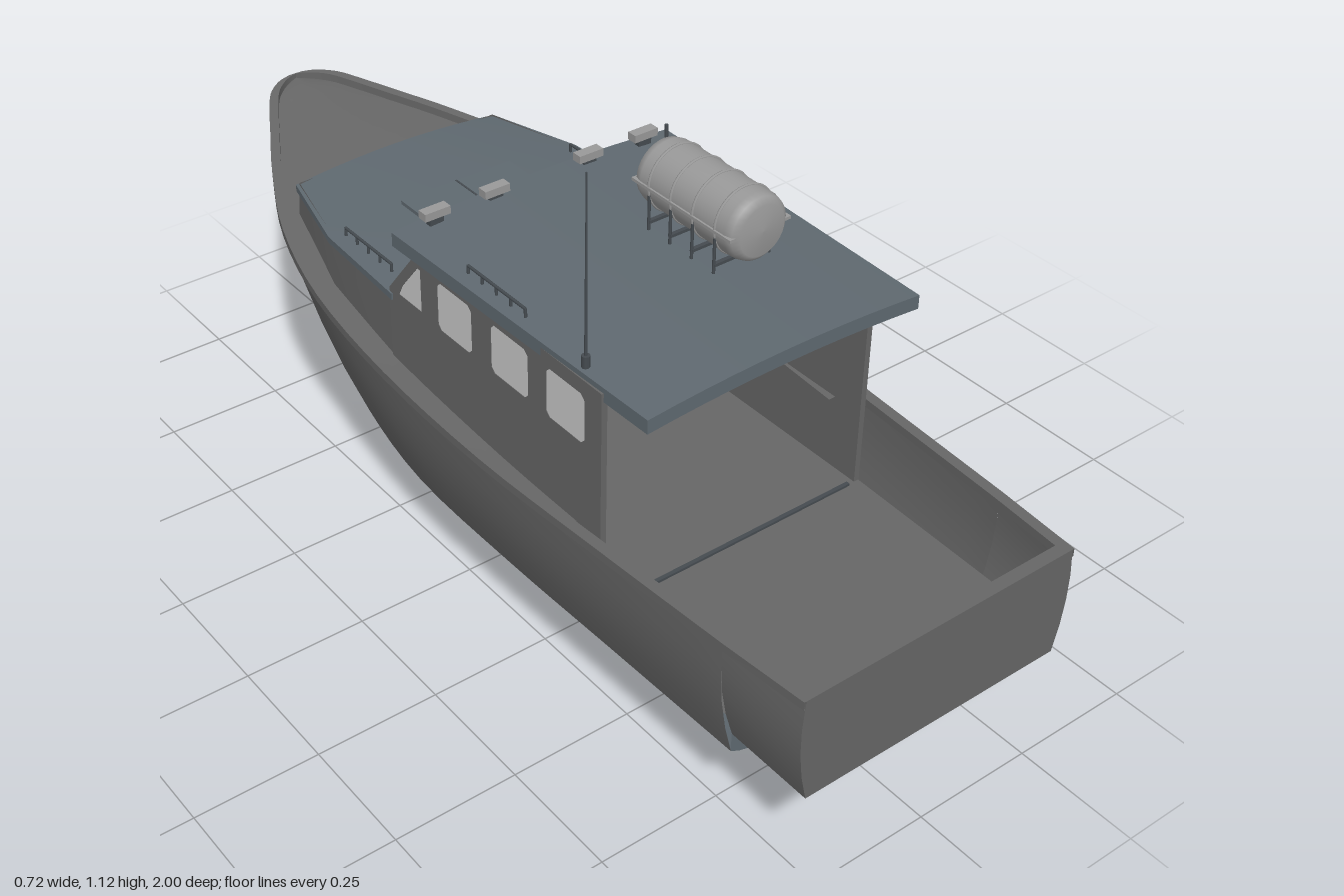
import * as THREE from 'three';
import { toCreasedNormals } from 'three/addons/utils/BufferGeometryUtils.js';

const mat = (color) => new THREE.MeshStandardMaterial({ color, side: THREE.DoubleSide });
const GREY = mat(0x666666), SLATE = mat(0x5f6970), DARK = mat(0x454b50), LIGHT = mat(0xcccccc), RAFT = mat(0x999999);
const FLOOR = 0.27;

// Hull stations, stern to bow: z, sheer x, y, chine x, y, garboard x, y, keel y
const STATIONS = [
  [0.82, 0.315, 0.44, 0.285, 0.185, 0.09, 0.135, 0],
  [0.5, 0.335, 0.44, 0.29, 0.182, 0.09, 0.135, 0.015],
  [0.2, 0.352, 0.443, 0.295, 0.18, 0.085, 0.135, 0.035],
  [-0.1, 0.357, 0.463, 0.29, 0.18, 0.08, 0.135, 0.062],
  [-0.35, 0.345, 0.497, 0.25, 0.185, 0.07, 0.145, 0.098],
  [-0.55, 0.3, 0.53, 0.19, 0.19, 0.05, 0.165, 0.138],
  [-0.72, 0.222, 0.555, 0.12, 0.2, 0.035, 0.185, 0.17],
  [-0.84, 0.155, 0.572, 0.07, 0.22, 0.022, 0.21, 0.195],
  [-0.91, 0.115, 0.582, 0.045, 0.27, 0.02, 0.255, 0.24],
  [-0.96, 0.082, 0.59, 0.04, 0.36, 0.025, 0.35, 0.335],
  [-0.99, 0.045, 0.594, 0.03, 0.53, 0.02, 0.525, 0.515],
  [-1, 0.012, 0.596, 0.01, 0.59, 0.005, 0.588, 0.585],
];
const STERN = [1, 0.3, 0.44, 0.285, 0.225, 0, 0, 0];

// Smooth interpolation between stations
function fair(rows, sub) {
  const out = [], last = rows.length - 1;
  for (let k = 0; k <= last * sub; k++) {
    const i = Math.min(Math.floor(k / sub), last - 1), t = k / sub - i;
    const [a, b, c, d] = [-1, 0, 1, 2].map((o) => rows[Math.min(Math.max(i + o, 0), last)]);
    out.push(b.map((v, j) => v + 0.5 * t * (c[j] - a[j] + t * (2 * a[j] - 5 * v + 4 * c[j] - d[j] + t * (3 * (v - c[j]) + d[j] - a[j])))));
  }
  return out;
}

// Skin over equal-length cross-sections of [x, y, z] points
function loft(sections, crease = 0.6) {
  const n = sections[0].length, index = [];
  for (let i = 0; i < sections.length - 1; i++) for (let j = 0; j < n - 1; j++) {
    const a = i * n + j, b = a + n;
    index.push(a, b, a + 1, b, b + 1, a + 1);
  }
  const g = new THREE.BufferGeometry();
  g.setAttribute('position', new THREE.Float32BufferAttribute(sections.flat(2), 3));
  g.setIndex(index);
  return toCreasedNormals(g, crease);
}

const mirrored = (pts) => [...pts, ...pts.map(([x, y, z]) => [-x, y, z]).reverse()];

function topside([z, xs, ys, xc, yc]) {
  return [0, 0.25, 0.5, 0.75, 1].map((t) => [xs + (xc - xs) * t + 0.16 * xc * t * (1 - t), ys + (yc - ys) * t, z]);
}

function bottom([z, , , xc, yc, xg, yg, yk]) {
  const k = Math.min(0.018, xg * 0.6);
  return mirrored([[xc, yc, z], [xc * 0.93, yc - (yc - yg) * 0.2, z], [(xc + xg) / 2, yg + (yc - yg) * 0.35, z], [xg, yg, z],
    [Math.max(k, xg * 0.5), yg + (yk - yg) * 0.2, z], [Math.max(k, xg * 0.33), yg + (yk - yg) * 0.4, z], [k, yk, z]]);
}

// Crowned slab between two ends given as [z, half width, edge height]
function slab(ends, thick, crown) {
  const ring = ([z, w, y], t) => {
    const arc = [...Array(11).keys()].map((i) => i / 5 - 1).map((u) => [u * w, y + crown * (1 - u * u), z]);
    const low = arc.map(([x, yy]) => [x, yy - t, z]).reverse();
    return [...arc, ...low, arc[0]];
  };
  return loft([ring(ends[0], 0), ...ends.map((e) => ring(e, thick)), ring(ends[ends.length - 1], 0)]);
}

const polygon = (pts) => new THREE.Shape(pts.map(([x, y]) => new THREE.Vector2(x, y)));
const extrude = (shape, depth) => new THREE.ExtrudeGeometry(shape, { depth, bevelEnabled: false });

// Wall with openings and a thin pane set into each
function glazedWall(name, outline, openings, paneOffset) {
  const g = new THREE.Group();
  g.name = name;
  const wall = polygon(outline);
  wall.holes = openings.map(polygon);
  add(g, name + 'Panel', extrude(wall, 0.012), GREY);
  openings.forEach((o) => add(g, 'windowPane', extrude(polygon(o), 0.004), LIGHT, 0, 0, paneOffset));
  return g;
}

// Rectangle with clipped corners
function pane(x0, x1, y0, y1, c = 0.01) {
  return [[x0 + c, y0], [x1 - c, y0], [x1, y0 + c], [x1, y1 - c], [x1 - c, y1], [x0 + c, y1], [x0, y1 - c], [x0, y0 + c]];
}

function add(parent, name, geo, material, x = 0, y = 0, z = 0) {
  const m = new THREE.Mesh(geo, material);
  m.name = name;
  m.position.set(x, y, z);
  parent.add(m);
  return m;
}
const box = (w, h, d) => new THREE.BoxGeometry(w, h, d);
const rod = (r, h) => new THREE.CylinderGeometry(r, r, h, 8);

export function createModel() {
  const boat = new THREE.Group();
  boat.name = 'boat';
  const rows = fair(STATIONS, 4), all = [STERN, ...rows];

  // Hull
  add(boat, 'hullBottom', loft(rows.map(bottom), 0.7), SLATE);
  const aft = STATIONS[0].slice();
  aft[4] = 0.225;
  for (const s of [1, -1]) {
    add(boat, 'topside', loft(rows.map(topside)), GREY).scale.x = s;
    add(boat, 'sternQuarter', loft([topside(STERN), topside(aft)]), GREY).scale.x = s;
    const rail = all.map(([z, x, y]) => {
      const i = Math.max(x - 0.018, 0), o = x + 0.004;
      return [[o, y - 0.012, z], [o, y + 0.005, z], [i, y + 0.005, z], [i, y - 0.012, z], [o, y - 0.012, z]];
    });
    add(boat, 'gunwale', loft(rail), GREY).scale.x = s;
    // Side decks beside the house
    const side = rows.filter((r) => r[0] < 0.5 && r[0] > -0.62);
    add(boat, 'sideDeck', loft(side.map(([z, x, y]) => [[Math.min(0.295, x - 0.06), y - 0.012, z], [x, y - 0.012, z]])), GREY).scale.x = s;
  }
  add(boat, 'transom', extrude(polygon(mirrored(topside(STERN))), 0.015), GREY, 0, 0, 0.985);
  add(boat, 'transomRail', box(0.6, 0.017, 0.025), GREY, 0, 0.4365, 0.9875);
  add(boat, 'sternOverhang', loft([STERN, aft].map(([z, , , x, y]) => [[x, y, z], [-x, y, z]])), SLATE);
  add(boat, 'sternFace', new THREE.ShapeGeometry(polygon([[0.286, 0.225], ...bottom(STATIONS[0]), [-0.286, 0.225]])), SLATE, 0, 0, 0.82);

  // Decks
  const sole = all.filter((r) => r[0] > -0.57).map(([z, xs, ys, xc, yc]) => {
    const x = xc + (xs - xc) * (FLOOR - yc) / (ys - yc);
    return [[x, FLOOR, z], [-x, FLOOR, z]];
  });
  add(boat, 'cockpitSole', loft(sole), GREY);
  add(boat, 'soleSeam', box(0.56, 0.006, 0.008), DARK, 0, FLOOR + 0.002, 0.49);
  const fore = rows.filter((r) => r[0] < -0.55);
  add(boat, 'foredeck', loft(fore.map(([z, x, y]) => mirrored([[x, y - 0.015, z], [x / 2, y - 0.008, z], [0, y - 0.005, z]]))), GREY);
  add(boat, 'forwardBulkhead', box(0.4, 0.24, 0.01), GREY, 0, 0.39, -0.55);

  // Wheelhouse sides; the shape's x axis runs toward the bow
  const outline = [[-0.49, FLOOR], [0.15, FLOOR], [0.15, 0.61], [0.05, 0.735], [-0.49, 0.735]];
  const openings = [[-0.444, -0.337], [-0.285, -0.176], [-0.117, -0.011]].map(([a, b]) => pane(a, b, 0.604, 0.705));
  openings.push([[0.043, 0.61], [0.118, 0.61], [0.105, 0.635], [0.052, 0.7], [0.043, 0.7]]);
  for (const s of [1, -1]) {
    const wall = glazedWall(s > 0 ? 'leftHouseSide' : 'rightHouseSide', outline, openings, s > 0 ? 0.007 : 0.001);
    wall.rotation.y = Math.PI / 2;
    wall.position.x = s > 0 ? 0.295 : -0.307;
    boat.add(wall);
  }

  // Windshield
  const lights = [-0.275, -0.135, 0.015, 0.155].map((x) => pane(x, x + 0.12, 0.025, 0.135));
  const shield = glazedWall('windshield', [[-0.3, -0.01], [0.3, -0.01], [0.3, 0.16], [-0.3, 0.16]], lights, 0.001);
  shield.position.set(0, 0.61, -0.15);
  shield.rotation.x = Math.atan2(0.1, 0.125);
  for (const s of [1, -1]) add(shield, 'wiper', rod(0.003, 0.1), DARK, s * 0.1, 0.065, -0.004).rotation.z = s * 0.6;
  boat.add(shield);

  // Trunk cabin
  const plan = mirrored([[0.305, 0, -0.14], [0.293, 0, -0.38], [0.24, 0, -0.59]]);
  add(boat, 'trunkSides', loft(plan.map(([x, , z]) => [[x, 0.44, z - (z < -0.5 ? 0.015 : 0)], [x * 0.985, 0.6, z]]), 0.2), GREY);
  add(boat, 'trunkTop', slab([[-0.14, 0.31, 0.6], [-0.38, 0.298, 0.6], [-0.595, 0.242, 0.595]], 0.014, 0.015), SLATE);
  add(boat, 'hatch', box(0.26, 0.008, 0.18), SLATE, 0, 0.617, -0.29);
  add(boat, 'hatchSeam', box(0.004, 0.01, 0.18), DARK, 0, 0.617, -0.29);

  // Roof
  add(boat, 'roof', slab([[-0.115, 0.318, 0.748], [0.6, 0.3, 0.745]], 0.028, 0.014), SLATE);
  for (const x of [-0.24, -0.108, 0.108, 0.24]) {
    add(boat, 'roofLight', box(0.055, 0.016, 0.022), RAFT, x, 0.776, -0.09);
    add(boat, 'roofLightFoot', box(0.03, 0.02, 0.014), DARK, x, 0.763, -0.09);
  }
  add(boat, 'antenna', new THREE.CylinderGeometry(0.0015, 0.003, 0.37, 8), DARK, -0.29, 0.93, 0.425);
  add(boat, 'antennaBase', rod(0.008, 0.025), DARK, -0.29, 0.757, 0.425);
  add(boat, 'roofPin', rod(0.004, 0.035), DARK, 0.29, 0.766, -0.08);

  // Grab rails on roof and trunk: x, y, rail start and end z
  for (const [x, y, z0, z1] of [[0.285, 0.757, 0.08, 0.25], [0.27, 0.612, -0.36, -0.2]]) for (const s of [1, -1]) {
    add(boat, 'grabRail', rod(0.003, z1 - z0), DARK, s * x, y + 0.008, (z0 + z1) / 2).rotation.x = Math.PI / 2;
    for (let i = 0; i < 5; i++) add(boat, 'grabRailPost', rod(0.003, 0.018), DARK, s * x, y, z0 + (z1 - z0) * i / 4);
  }

  // Life raft canister on its cradle
  const raft = new THREE.Group();
  raft.name = 'lifeRaft';
  raft.position.set(0.11, 0.847, 0.26);
  const profile = [[0, -0.143], [0.05, -0.14], [0.062, -0.13], [0.066, -0.115], [0.066, 0.115], [0.062, 0.13], [0.05, 0.14], [0, 0.143]];
  add(raft, 'canister', new THREE.LatheGeometry(profile.map(([r, y]) => new THREE.Vector2(r, y)), 32), RAFT).rotation.x = Math.PI / 2;
  add(raft, 'seam', box(0.139, 0.006, 0.27), RAFT);
  for (const z of [-0.09, -0.03, 0.03, 0.09]) {
    add(raft, 'band', new THREE.TorusGeometry(0.066, 0.003, 6, 32), RAFT, 0, 0, z);
    for (const s of [1, -1]) add(raft, 'cradleLeg', rod(0.003, 0.1), DARK, s * 0.064, -0.045, z);
    add(raft, 'cradleBar', box(0.13, 0.006, 0.008), DARK, 0, -0.07, z);
  }
  boat.add(raft);
  return boat;
}
